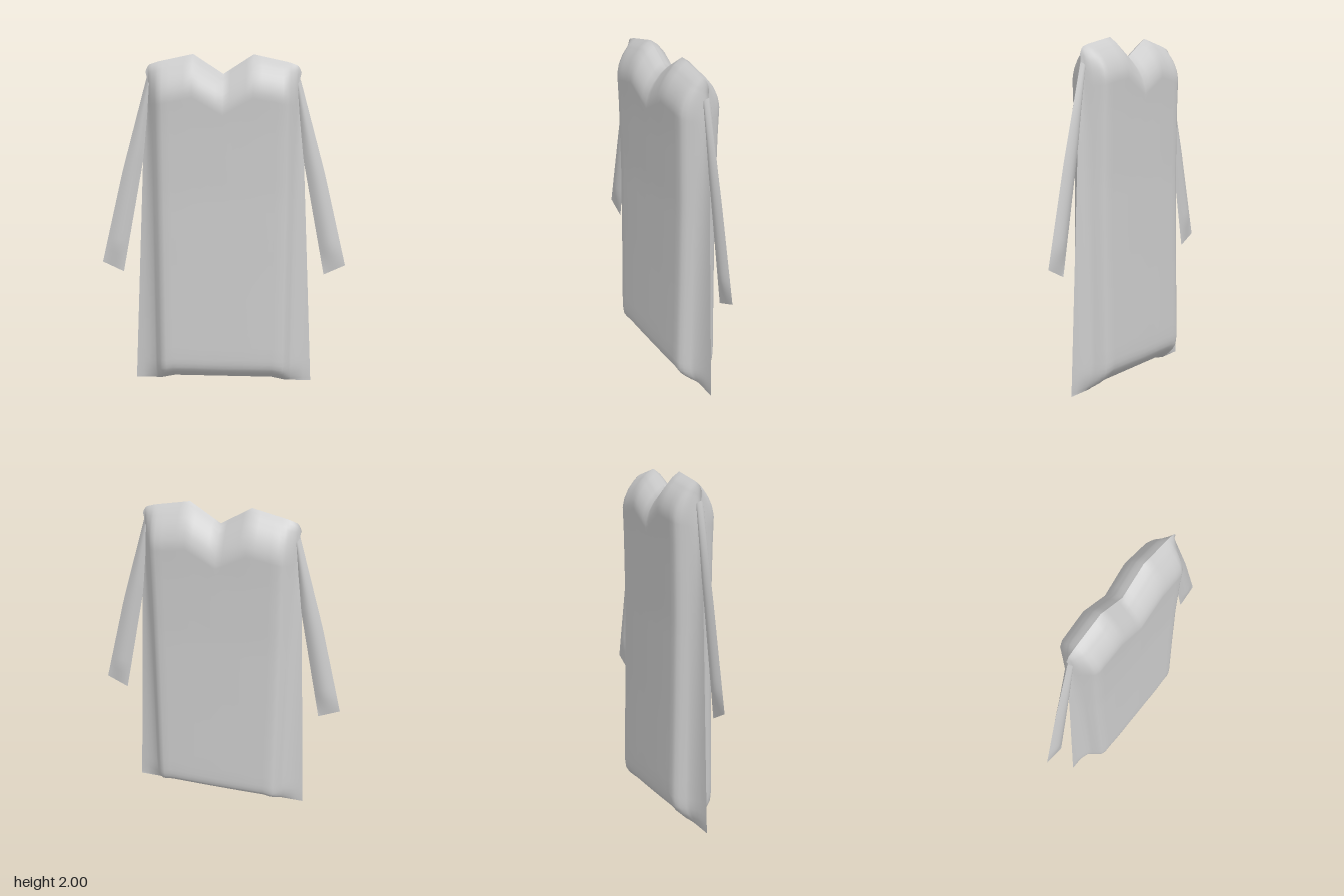
import * as THREE from 'three';

// piecewise-linear lookup through [input, output] pairs
function lookup(points, t) {
  if (t <= points[0][0]) return points[0][1];
  for (let i = 1; i < points.length; i++) {
    const [a, va] = points[i - 1], [b, vb] = points[i];
    if (t <= b) return va + ((vb - va) * (t - a)) / (b - a);
  }
  return points[points.length - 1][1];
}

// smooth cloth sheet from a grid of points; flip reverses the facing
function sheet(name, us, vs, point, flip, material) {
  const pos = [], index = [], n = us.length;
  for (const v of vs) for (const u of us) pos.push(...point(u, v));
  for (let j = 0; j < vs.length - 1; j++) {
    for (let i = 0; i < n - 1; i++) {
      const a = j * n + i, b = a + 1, c = a + n, d = c + 1;
      if (flip) index.push(a, d, b, a, c, d);
      else index.push(a, b, d, a, d, c);
    }
  }
  const geometry = new THREE.BufferGeometry();
  geometry.setAttribute('position', new THREE.Float32BufferAttribute(pos, 3));
  geometry.setIndex(index);
  geometry.computeVertexNormals();
  const mesh = new THREE.Mesh(geometry, material);
  mesh.name = name;
  return mesh;
}

// outline and puff of the gown
const halfWidth = [[0, 0.54], [1.43, 0.465], [1.8, 0.437], [1.87, 0.435], [1.92, 0.445]];
const topEdge = [[0, 1.89], [0.17, 2], [0.37, 1.957], [0.42, 1.94], [0.44, 1.9]];
const hem = [[0, 0.022], [0.3, 0.022], [0.38, 0.005], [0.54, 0.004]];
const hemPuff = [[0, 0], [0.03, 0.4], [0.07, 0.75], [0.11, 0.94], [0.17, 1]];
const topPuff = [[0, 0], [0.03, 0.32], [0.08, 0.65], [0.13, 0.87], [0.19, 1]];
const bodyDepth = [[0.15, 0.134], [0.7, 0.124], [1.2, 0.118], [1.6, 0.124], [1.8, 0.132]];
const sidePuff = [[0, 1], [0.2, 0.99], [0.34, 0.96], [0.365, 0.88], [0.39, 0.62], [0.415, 0.32]];

function bodyPoint(u, v, sign) {
  const x0 = Math.abs(u), inner = 0.415;
  const top = lookup(topEdge, x0), bottom = lookup(hem, x0);
  const y = bottom + (top - bottom) * v;
  let x = x0, puff = lookup(sidePuff, x0);
  if (x0 > inner) { // thin side flange reaching the flared seam
    const f = (x0 - inner) / (0.44 - inner);
    x = inner + f * (lookup(halfWidth, y) - inner);
    puff = 0.32 * (1 - f) ** 1.6;
  }
  const z = lookup(bodyDepth, y) * puff * lookup(hemPuff, y - bottom) * lookup(topPuff, top - y);
  return [Math.sign(u) * x, y, sign * z];
}

// sleeve edges, running from shoulder to cuff
const outerX = [[0, 0.437], [0.5, 0.589], [1, 0.725]];
const outerY = [[0, 1.86], [0.5, 1.32], [1, 0.76]];
const innerX = [[0, 0.405], [0.36, 0.458], [1, 0.6]];
const innerY = [[0, 1.82], [0.36, 1.43], [1, 0.7]];

function sleevePoint(s, t, side, sign) {
  const x = THREE.MathUtils.lerp(lookup(innerX, t), lookup(outerX, t), s);
  const y = THREE.MathUtils.lerp(lookup(innerY, t), lookup(outerY, t), s);
  const z = 0.021 * Math.sin(Math.PI * s) * Math.min(1, (1 - t) * 8);
  return [side * x, y, sign * z];
}

export function createModel() {
  const model = new THREE.Group();
  model.name = 'longSleevedGown';
  const cloth = new THREE.MeshStandardMaterial({ color: 0xcccccc, side: THREE.DoubleSide });
  cloth.name = 'paleGreyCloth';

  // columns follow the neckline, shoulder and side seam corners
  const half = [0.04, 0.085, 0.13, 0.17, 0.22, 0.27, 0.3, 0.34, 0.365, 0.38, 0.39, 0.402, 0.415, 0.423, 0.431, 0.44];
  const columns = [...half.map((x) => -x).reverse(), 0, ...half];
  // rows are closer together at the hem and shoulders
  const rows = [0, 0.008, 0.016, 0.026, 0.036, 0.046, 0.056, 0.07, 0.086];
  for (let i = 1; i <= 20; i++) rows.push(0.086 + i * 0.039);
  rows.push(0.885, 0.9, 0.915, 0.93, 0.944, 0.957, 0.968, 0.977, 0.985, 0.993, 1);

  const across = Array.from({ length: 9 }, (_, i) => i / 8);
  const along = Array.from({ length: 26 }, (_, i) => i / 25);

  for (const sign of [1, -1]) {
    const face = sign > 0 ? 'Front' : 'Back';
    model.add(sheet('gown' + face, columns, rows, (u, v) => bodyPoint(u, v, sign), sign < 0, cloth));
    for (const side of [1, -1]) {
      const name = (side > 0 ? 'left' : 'right') + 'Sleeve' + face;
      // rows run downward, so the facing is reversed
      model.add(sheet(name, across, along, (s, t) => sleevePoint(s, t, side, sign), side * sign > 0, cloth));
    }
  }
  return model;
}
